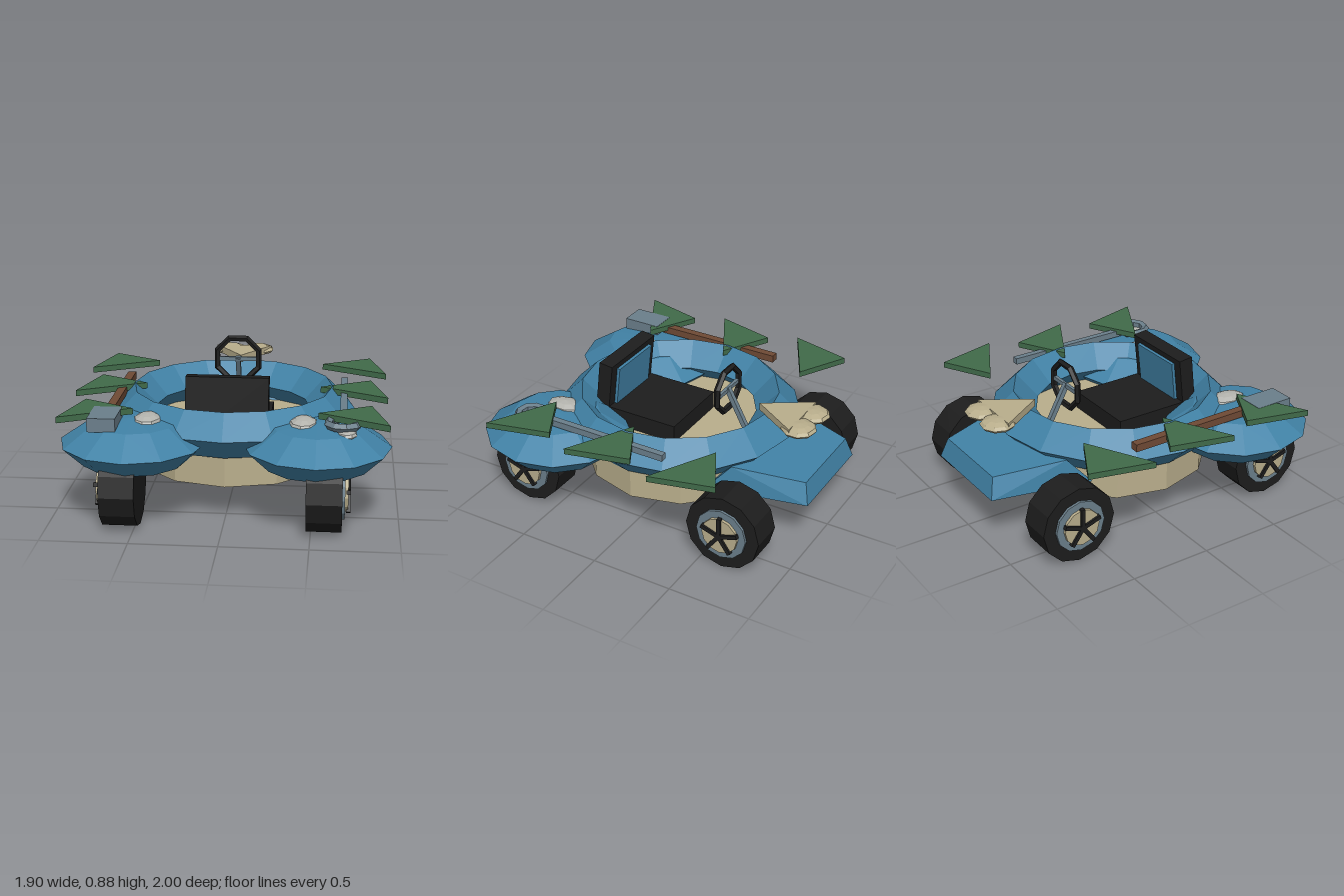
import * as THREE from 'three';
import { ConvexGeometry } from 'three/addons/geometries/ConvexGeometry.js';

const mat = (name, color) => {
  const m = new THREE.MeshStandardMaterial({ color });
  m.name = name;
  m.flatShading = true;
  return m;
};

export function createModel() {
  const blue = mat('blue', 0x4182a6), sand = mat('sand', 0xb9ae8c), green = mat('green', 0x406a49);
  const steel = mat('steel', 0x6b7f8b), brown = mat('brown', 0x6f4a35), black = mat('black', 0x1d1d1d);
  const stone = mat('stone', 0xb4b4ae);
  const car = new THREE.Group();
  car.name = 'kart';

  const add = (name, geo, material, x = 0, y = 0, z = 0, parent = car) => {
    const m = new THREE.Mesh(geo, material);
    m.name = name;
    m.position.set(x, y, z);
    parent.add(m);
    return m;
  };
  const box = (w, h, d) => new THREE.BoxGeometry(w, h, d);
  const blob = (rx, ry, rz) => new THREE.SphereGeometry(1, 9, 6).scale(rx, ry, rz);
  // flat plate from [x, z] corners, lying between heights y0 and y1
  const plate = (corners, y0, y1) =>
    new ConvexGeometry(corners.flatMap(([x, z]) => [new THREE.Vector3(x, y0, z), new THREE.Vector3(x, y1, z)]));

  // body: tub, faceted ring and tapered tail
  add('tub', new THREE.CylinderGeometry(0.59, 0.59, 0.21, 12), sand, 0, 0.305, 0.01);
  add('bodyRing', new THREE.TorusGeometry(0.6, 0.136, 4, 16).rotateX(Math.PI / 2), blue, 0, 0.518, 0.02);
  const tail = [];
  for (const s of [-1, 1]) {
    tail.push(
      new THREE.Vector3(s * 0.44, 0.32, -0.41), new THREE.Vector3(s * 0.31, 0.32, -1),
      new THREE.Vector3(s * 0.39, 0.48, -0.55), new THREE.Vector3(s * 0.27, 0.445, -0.965));
  }
  add('tail', new ConvexGeometry(tail), blue);

  // seat
  add('seatCushion', box(0.48, 0.12, 0.5), black, 0, 0.46, 0.17);
  const back = new THREE.Group();
  back.name = 'seatBack';
  back.position.set(0, 0.61, 0.415);
  back.rotation.x = -0.11;
  car.add(back);
  add('seatBackFrame', box(0.48, 0.39, 0.09), black, 0, 0, 0, back);
  add('seatBackPanel', box(0.36, 0.26, 0.02), blue, 0, 0.03, -0.054, back);

  // steering wheel and column
  add('steeringWheel', new THREE.TorusGeometry(0.14, 0.02, 5, 8).rotateZ(Math.PI / 8), black, 0, 0.728, -0.308);
  add('steeringSpoke', box(0.25, 0.025, 0.02), steel, 0, 0.728, -0.308);
  add('steeringColumn', box(0.03, 0.36, 0.03), steel, 0, 0.58, -0.39).rotation.x = 0.5;

  // heart ornament on the tail
  add('heartPoint', plate([[-0.18, -0.8], [0.18, -0.8], [0, -0.52]], 0.65, 0.695), sand);
  for (const s of [-1, 1]) add('heartLobe', blob(0.105, 0.034, 0.105), sand, s * 0.09, 0.664, -0.82);

  // faceted front fenders
  const fender = new THREE.LatheGeometry(
    [[0, -0.14], [0.31, -0.115], [0.43, 0], [0.26, 0.115], [0, 0.135]].map(p => new THREE.Vector2(...p)), 12);
  fender.scale(0.985, 1, 1.015);

  for (const s of [-1, 1]) {
    add('frontFender', fender, blue, s * 0.525, 0.46, 0.563);
    add('fenderStone', blob(0.085, 0.045, 0.125), stone, s * 0.445, 0.575, 0.555);
    add('smallStone', blob(0.06, 0.03, 0.08), stone, s * 0.69, 0.568, 0.69);

    // side fins
    for (const z of [-0.53, 0.01, 0.555]) {
      add('sideFin', plate([[s * 0.83, z - 0.16], [s * 0.927, z + 0.217], [s * 0.528, z + 0.005]], 0.612, 0.648), green);
    }

    // wheels
    for (const z of [0.695, -0.65]) {
      const wheel = new THREE.Group();
      wheel.name = z > 0 ? 'frontWheel' : 'rearWheel';
      wheel.position.set(s * 0.575, 0.232, z);
      car.add(wheel);
      const disc = (name, r, w, m, x) =>
        add(name, new THREE.CylinderGeometry(r, r, w, 12).rotateZ(Math.PI / 2), m, s * x, 0, 0, wheel);
      disc('tire', 0.232, 0.2, black, 0);
      disc('rim', 0.157, 0.04, steel, 0.095);
      disc('hubDisc', 0.112, 0.04, sand, 0.113);
      for (let i = 0; i < 5; i++) {
        const a = (i * Math.PI * 2) / 5;
        const spoke = add('spoke', box(0.025, 0.12, 0.024), black,
          s * 0.133, Math.cos(a) * 0.06, Math.sin(a) * 0.06, wheel);
        spoke.rotation.x = a;
      }
    }
  }

  // hammer on the right, wrench on the left
  add('hammerHandle', box(0.05, 0.045, 0.88), brown, -0.67, 0.612, 0.16);
  add('hammerHead', box(0.16, 0.08, 0.24), steel, -0.672, 0.61, 0.667);
  add('wrenchHandle', box(0.04, 0.04, 0.82), steel, 0.67, 0.612, 0.14);
  add('wrenchRing', new THREE.TorusGeometry(0.085, 0.026, 5, 9).rotateX(Math.PI / 2), steel, 0.67, 0.612, 0.635);

  return car;
}
